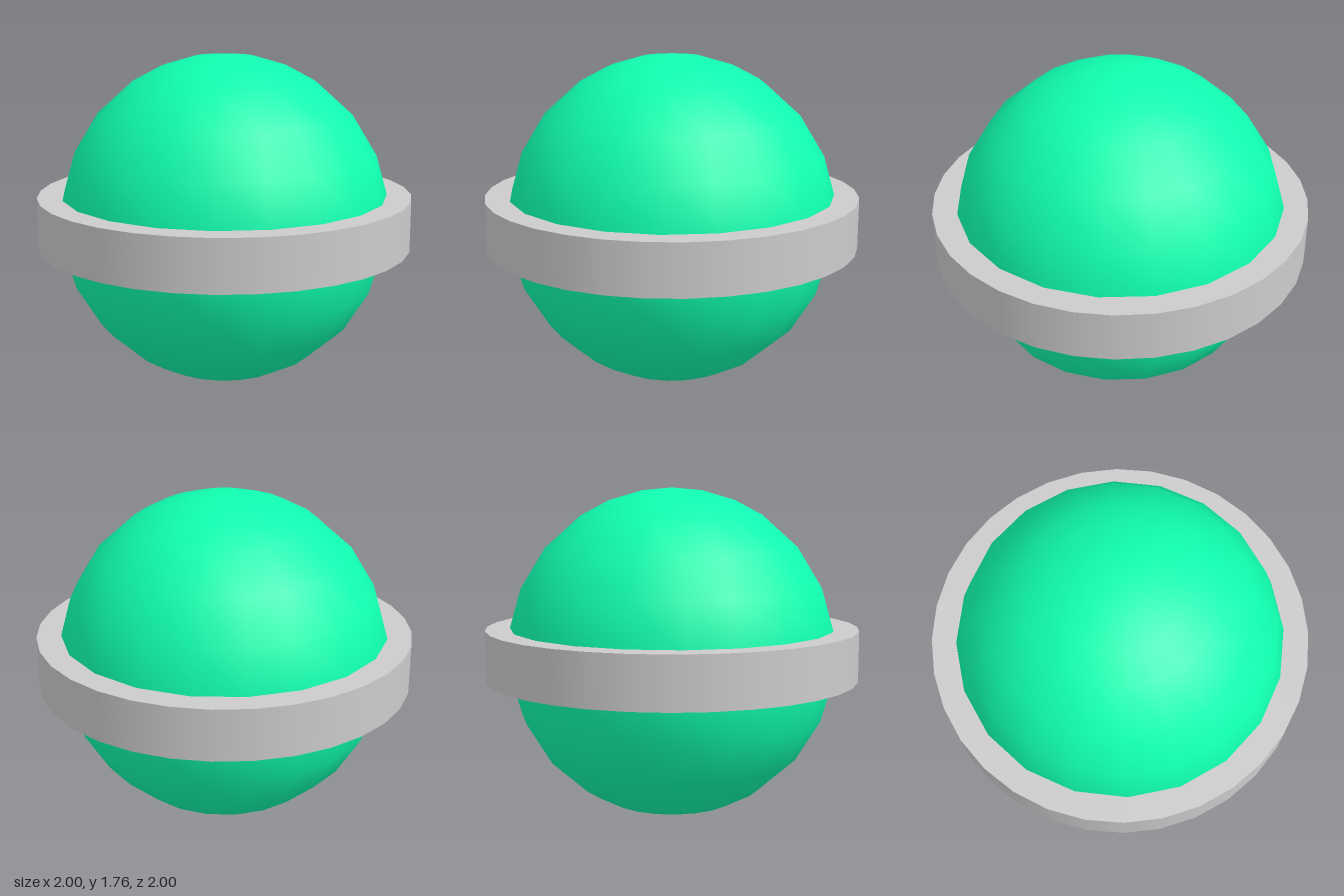
import * as THREE from 'three';

const RADIUS = 0.881;
const CENTRE_Y = 0.883;

export function createModel() {
  const model = new THREE.Group();
  model.name = 'ringedBall';

  const green = new THREE.MeshStandardMaterial({ color: 0x10ffb0 });
  const grey = new THREE.MeshStandardMaterial({ color: 0xcccccc });

  // Ball: faceted outline turned from a half circle, with smooth round normals
  const upper = [9, 23.1, 39.6, 56.6, 67.6, 79.5, 90];
  const latitudes = [...upper.map((a) => -a).reverse(), ...upper];
  const profile = latitudes.map((degrees) => {
    const a = THREE.MathUtils.degToRad(degrees);
    return new THREE.Vector2(Math.max(0, RADIUS * Math.cos(a)), RADIUS * Math.sin(a));
  });
  const ballGeometry = new THREE.LatheGeometry(profile, 20);
  const position = ballGeometry.attributes.position;
  const normal = new THREE.Vector3();
  for (let i = 0; i < position.count; i++) {
    normal.fromBufferAttribute(position, i).normalize();
    ballGeometry.attributes.normal.setXYZ(i, normal.x, normal.y, normal.z);
  }
  const ball = new THREE.Mesh(ballGeometry, green);
  ball.name = 'ball';
  ball.position.y = CENTRE_Y;
  ball.rotation.y = THREE.MathUtils.degToRad(6);
  model.add(ball);

  // Flat band around the middle; its inner part lies inside the ball
  const band = new THREE.Mesh(new THREE.CylinderGeometry(1, 1, 0.27, 32), grey);
  band.name = 'band';
  band.position.y = CENTRE_Y;
  model.add(band);

  return model;
}
